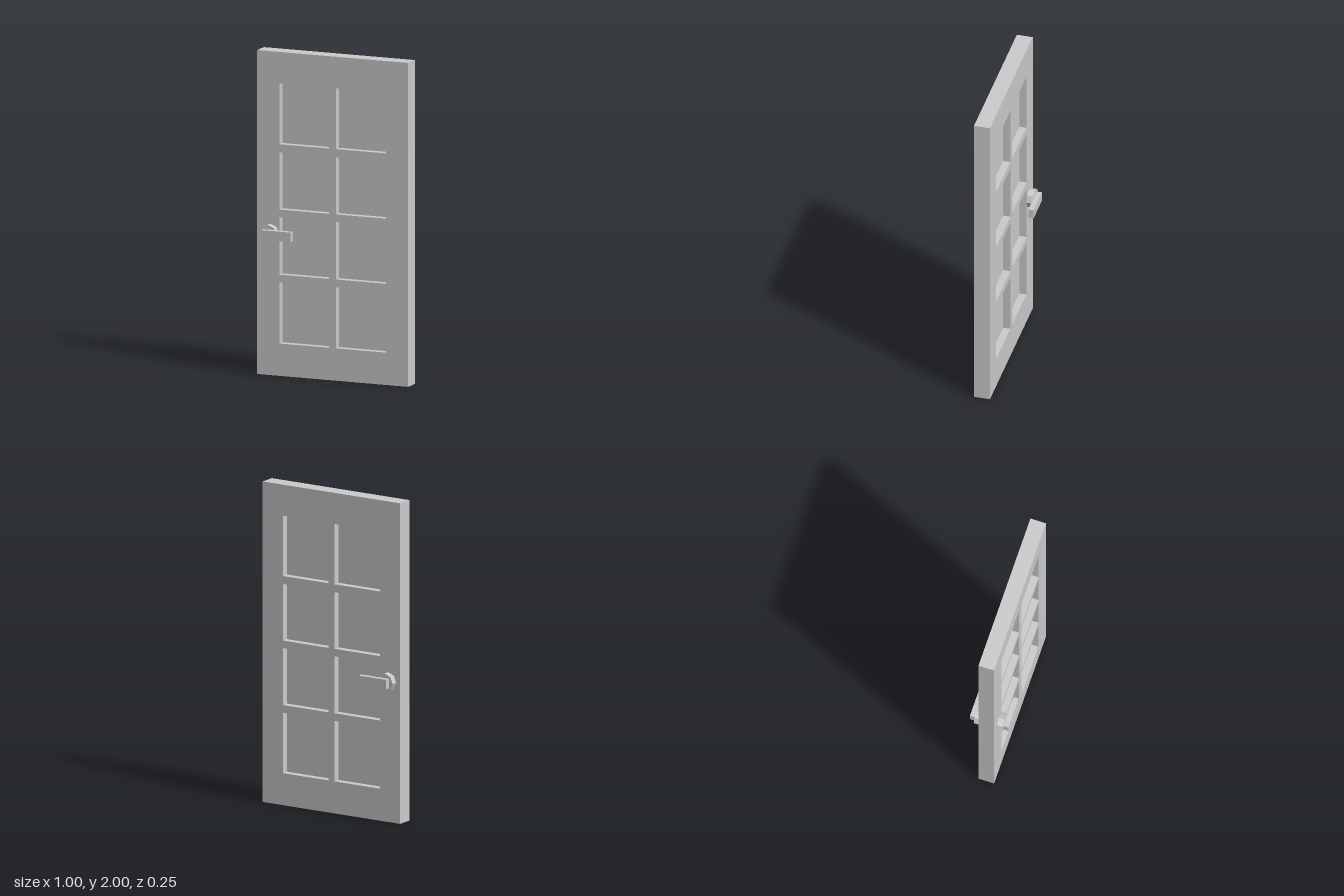
import * as THREE from 'three';

const material = new THREE.MeshStandardMaterial({ color: 0xcccccc, flatShading: true });

function part(name, geometry, x = 0, y = 0, z = 0) {
  const mesh = new THREE.Mesh(geometry, material);
  mesh.name = name;
  mesh.position.set(x, y, z);
  return mesh;
}

// Traces a rectangle given by its edges
function rectangle(path, left, right, bottom, top) {
  path.moveTo(left, bottom);
  path.lineTo(right, bottom);
  path.lineTo(right, top);
  path.lineTo(left, top);
  path.closePath();
  return path;
}

export function createModel() {
  const door = new THREE.Group();
  door.name = 'door';

  const depth = 0.1;
  const columns = [[-0.353, -0.023], [0.023, 0.353]];
  const rows = [[0.2, 0.577], [0.625, 0.98], [1.027, 1.38], [1.43, 1.806]];

  // Frame with eight openings, and a thin pane set midway in each
  const outline = rectangle(new THREE.Shape(), -0.5, 0.5, 0, 2);
  const panes = new THREE.Group();
  panes.name = 'panes';
  for (const [left, right] of columns) {
    for (const [bottom, top] of rows) {
      outline.holes.push(rectangle(new THREE.Path(), left, right, bottom, top));
      panes.add(part('pane', new THREE.BoxGeometry(right - left, top - bottom, 0.01),
        (left + right) / 2, (bottom + top) / 2, 0));
    }
  }
  const frame = new THREE.ExtrudeGeometry(outline, { depth, bevelEnabled: false });
  door.add(part('frame', frame, 0, 0, -depth / 2), panes);

  // Octagonal rose and lever on each side
  for (const [side, name] of [[1, 'frontHandle'], [-1, 'backHandle']]) {
    const handle = new THREE.Group();
    handle.name = name;
    handle.position.set(-0.413, 0.876, 0);
    const rose = new THREE.CylinderGeometry(0.059, 0.059, 0.04, 8).rotateX(Math.PI / 2);
    handle.add(part('rose', rose, 0, 0, side * 0.07));
    handle.add(part('lever', new THREE.BoxGeometry(0.198, 0.06, 0.033), 0.068, 0, side * 0.1065));
    door.add(handle);
  }

  return door;
}
